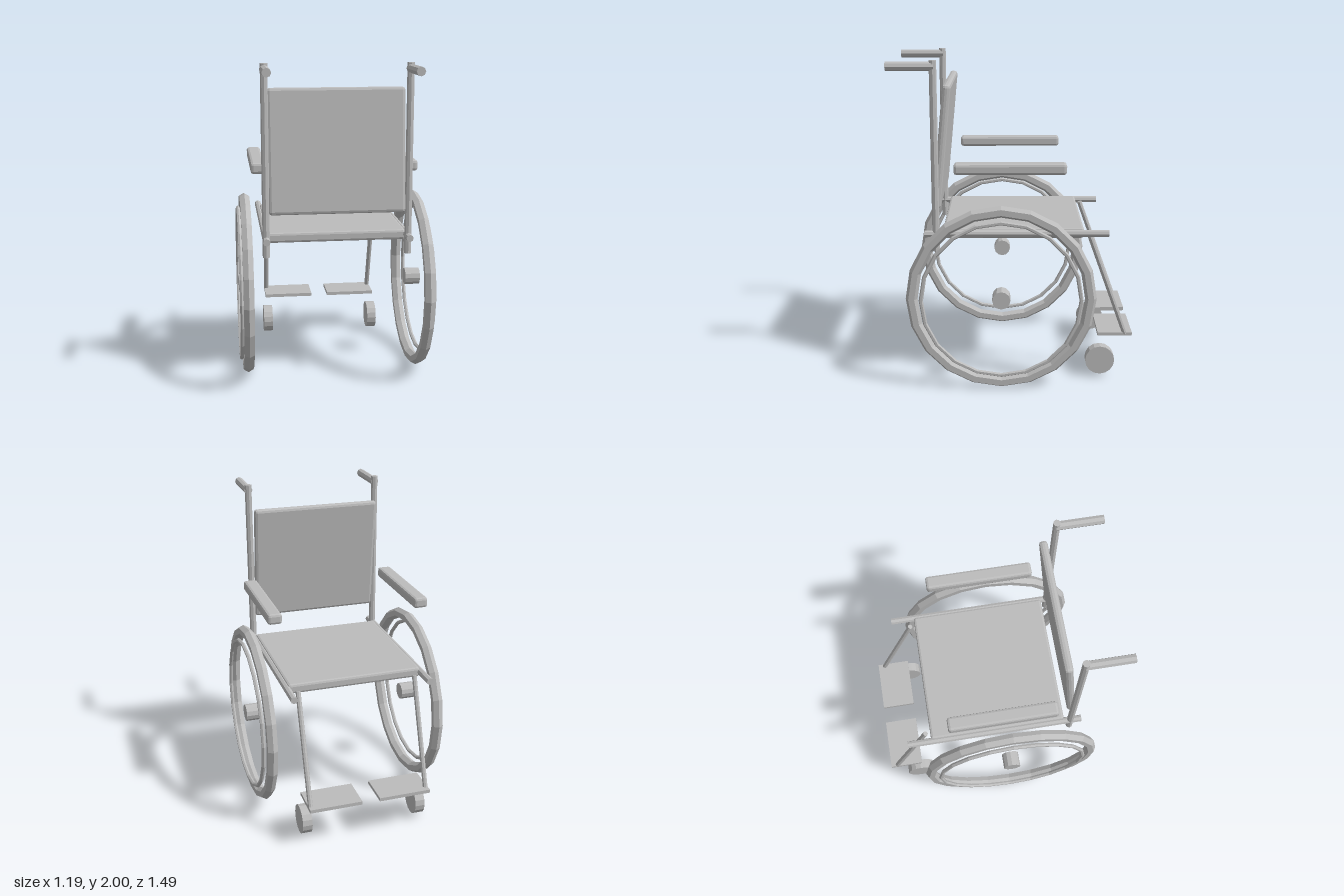
import * as THREE from 'three';
import { RoundedBoxGeometry } from 'three/addons/geometries/RoundedBoxGeometry.js';

export function createModel() {
  const model = new THREE.Group();
  model.name = 'wheelchair';
  const grey = new THREE.MeshStandardMaterial({ color: 0xbcbcbc, flatShading: true });
  grey.name = 'plain grey';

  const add = (name, geometry, x, y, z) => {
    const mesh = new THREE.Mesh(geometry, grey);
    mesh.name = name;
    mesh.position.set(x, y, z);
    model.add(mesh);
    return mesh;
  };

  // Box with chamfered edges
  const pad = (w, h, d, chamfer) => new RoundedBoxGeometry(w, h, d, 1, chamfer);

  // Straight tube between two points
  const tube = (name, from, to, radius, sides = 8) => {
    const a = new THREE.Vector3(...from);
    const b = new THREE.Vector3(...to);
    const mesh = add(name, new THREE.CylinderGeometry(radius, radius, a.distanceTo(b), sides), 0, 0, 0);
    mesh.position.copy(a).add(b).multiplyScalar(0.5);
    mesh.quaternion.setFromUnitVectors(new THREE.Vector3(0, 1, 0), b.sub(a).normalize());
  };

  // Ring standing in the y-z plane
  const ring = (radius, thickness, sides) =>
    new THREE.TorusGeometry(radius, thickness, sides, 20).rotateY(Math.PI / 2);

  // Seat and leaning backrest
  add('seat', pad(0.85, 0.062, 0.86, 0.015), 0, 0.955, 0);
  add('backrest', pad(0.825, 0.75, 0.05, 0.018), 0, 1.48, 0.43).rotation.x = -0.1;

  for (const s of [1, -1]) {
    const side = s > 0 ? 'left' : 'right';

    // Frame tubes and push handle
    tube(side + 'SeatRail', [s * 0.43, 0.957, -0.58], [s * 0.43, 0.957, 0.54], 0.022);
    tube(side + 'BackPost', [s * 0.43, 0.85, 0.47], [s * 0.43, 2, 0.47], 0.022);
    tube(side + 'PushHandle', [s * 0.43, 1.965, 0.465], [s * 0.43, 1.965, 0.745], 0.027);

    // Armrest
    add(side + 'Armrest', pad(0.088, 0.066, 0.67, 0.016), s * 0.466, 1.368, 0.02);

    // Large wheel with push rim and hub
    add(side + 'Tyre', ring(0.542, 0.036, 6), s * 0.543, 0.582, 0.075);
    add(side + 'PushRim', ring(0.483, 0.013, 6), s * 0.584, 0.582, 0.075);
    tube(side + 'Hub', [s * 0.495, 0.583, 0.075], [s * 0.59, 0.583, 0.075], 0.055, 12);

    // Leg tube, footplate and small wheel
    tube(side + 'LegTube', [s * 0.374, 0.955, -0.46], [s * 0.374, 0.285, -0.702], 0.016);
    add(side + 'Footplate', new THREE.BoxGeometry(0.33, 0.022, 0.216), s * 0.222, 0.285, -0.637);
    tube(side + 'Caster', [s * 0.342, 0.115, -0.545], [s * 0.404, 0.115, -0.545], 0.092, 16);
  }
  return model;
}
